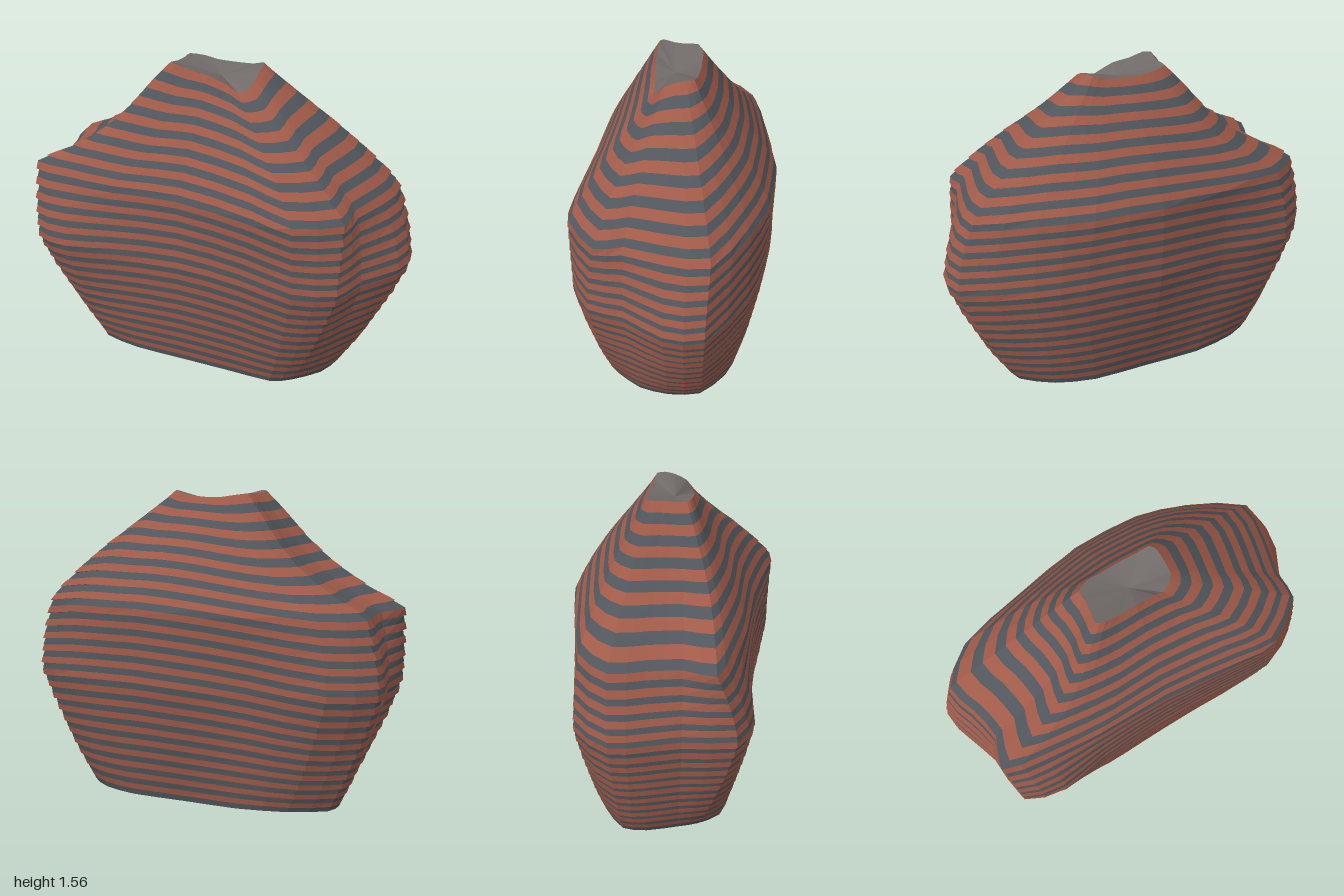
import * as THREE from 'three';

// Four outlines as x,z pairs, running from +x through the front (+z), -x and the back
const BASE = [.67, 0, .63, .15, .52, .28, .42, .34, .2, .34, -.1, .34, -.35, .34, -.55, .3, -.64, .2,
  -.68, .1, -.73, -.05, -.72, -.17, -.55, -.28, -.3, -.34, 0, -.34, .3, -.34, .5, -.28, .65, -.16];
const BELLY = [.97, 0, .84, .2, .78, .38, .58, .48, .3, .46, -.05, .44, -.42, .44, -.68, .47, -.89, .4,
  -.91, .14, -.96, -.03, -.99, -.2, -.8, -.39, -.4, -.42, 0, -.49, .4, -.46, .65, -.39, .97, -.2];
const SHOULDER = [.86, 0, .8, .2, .79, .34, .58, .49, .38, .49, -.05, .44, -.42, .41, -.72, .36, -.93, .3,
  -.86, .14, -.88, -.03, -.92, -.2, -.74, -.36, -.38, -.44, 0, -.5, .36, -.48, .62, -.39, .88, -.22];
const RIM = [.2, 0, .2, .06, .18, .09, .13, .11, .08, .11, -.03, .12, -.12, .12, -.2, .12, -.24, .1,
  -.23, .04, -.22, -.02, -.22, -.08, -.15, -.11, -.08, -.11, 0, -.11, .12, -.1, .18, -.09, .2, -.05];
// Height of the rim at each of the 18 columns
const RIM_Y = [1.55, 1.52, 1.48, 1.46, 1.49, 1.53, 1.54, 1.56, 1.56, 1.55, 1.55, 1.55, 1.54, 1.53, 1.53, 1.54, 1.56, 1.56];
const LAYERS = 46, SIDES = 36, BELLY_Y = 0.6, SHOULDER_Y = 0.98;

// Rounds an outline and returns SIDES points, with the rim height kept in y
function smoothOutline(flat) {
  const points = RIM_Y.map((y, i) => new THREE.Vector3(flat[2 * i], y, flat[2 * i + 1]));
  const curve = new THREE.CatmullRomCurve3(points, true, 'catmullrom', 0.35);
  return Array.from({ length: SIDES }, (_, i) => curve.getPoint(i / SIDES));
}

function seeded(seed) {
  return () => (seed = (seed * 16807) % 2147483647) / 2147483647;
}

function addTri(list, a, b, c) {
  for (const p of [a, b, c]) list.push(p.x, p.y, p.z);
}

function addBand(list, low, high) {
  for (let i = 0; i < SIDES; i++) {
    const j = (i + 1) % SIDES;
    addTri(list, low[j], low[i], high[i]);
    addTri(list, low[j], high[i], high[j]);
  }
}

function makeMesh(name, list, color) {
  const geometry = new THREE.BufferGeometry();
  geometry.setAttribute('position', new THREE.Float32BufferAttribute(list, 3));
  geometry.computeVertexNormals();
  const mesh = new THREE.Mesh(geometry, new THREE.MeshStandardMaterial({ color, flatShading: true }));
  mesh.name = name;
  return mesh;
}

export function createModel() {
  const group = new THREE.Group();
  group.name = 'layeredRock';
  const [base, belly, shoulder, rim] = [BASE, BELLY, SHOULDER, RIM].map(smoothOutline);
  const random = seeded(41);

  // One ring of the rock; step pushes the layer slightly in or out
  function ring(k, step) {
    const s = k / LAYERS;
    const t = s * (0.8 + 0.2 * s);
    return base.map((b, i) => {
      const m = belly[i], h = shoulder[i], r = rim[i];
      const wave = 0.06 * Math.cos(2.4 * (m.x - 0.2)) * Math.sin(Math.PI * t);
      const y = r.y * t + wave;
      const p = new THREE.Vector3();
      if (y < BELLY_Y) {
        const u = y / BELLY_Y;
        p.lerpVectors(b, m, u + 0.06 * Math.sin(Math.PI * u));
      } else if (y < SHOULDER_Y) {
        p.lerpVectors(m, h, ((y - BELLY_Y) / (SHOULDER_Y - BELLY_Y)) ** 1.5);
      } else {
        const u = Math.min(1, (y - SHOULDER_Y) / (r.y - SHOULDER_Y));
        const bulge = Math.sin(Math.PI * u);
        p.lerpVectors(h, r, u);
        p.x *= 1 + bulge * (p.x < 0 ? -0.17 : 0.07);
        p.z *= 1 + bulge * 0.07;
      }
      p.x *= 1 + step;
      p.z *= 1 + step * 0.5;
      p.y = y;
      return p;
    });
  }

  // Alternating strata, each with a small ledge to the layer below
  const bands = [[], []];
  const bottom = ring(0, 0);
  let previous = bottom;
  for (let k = 0; k < LAYERS; k++) {
    const list = bands[k % 2];
    const fade = Math.min(1, k / 4, (LAYERS - 1 - k) / 8);
    const step = fade * ((k % 2 ? 0.004 : -0.004) + (random() - 0.5) * 0.008);
    const low = ring(k, step + 0.004 * fade);
    const high = ring(k + 1, step - 0.004 * fade);
    if (k > 0) addBand(list, previous, low);
    addBand(list, low, high);
    previous = high;
  }
  group.add(makeMesh('darkStrata', bands[0], 0x50565c));
  group.add(makeMesh('redStrata', bands[1], 0xa05a48));

  // Dished top and flat underside
  const topCap = [], underside = [];
  const dish = new THREE.Vector3(0, 1.5, 0.02), floor = new THREE.Vector3();
  for (let i = 0; i < SIDES; i++) {
    const j = (i + 1) % SIDES;
    addTri(topCap, dish, previous[j], previous[i]);
    addTri(underside, floor, bottom[i], bottom[j]);
  }
  group.add(makeMesh('topCap', topCap, 0x706a68));
  group.add(makeMesh('underside', underside, 0x706a68));
  return group;
}
